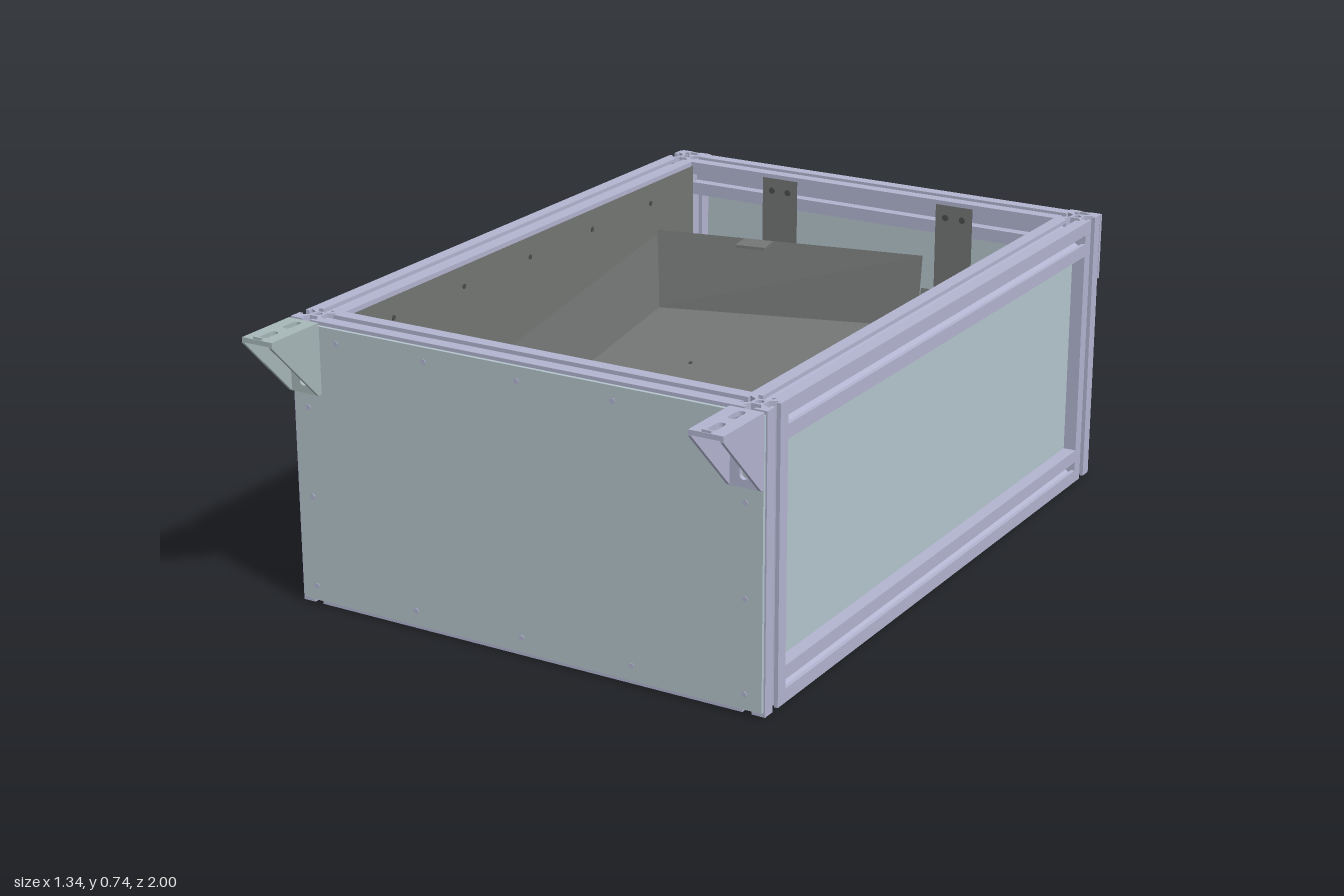
import * as THREE from 'three';

const mat = (name, color, double) => {
  const m = new THREE.MeshStandardMaterial({ color });
  m.name = name;
  if (double) m.side = THREE.DoubleSide;
  return m;
};

export function createModel() {
  const root = new THREE.Group();
  const aluminium = mat('aluminium', 0xb2b4d0);
  const glazing = mat('panel blue', 0xb4c4cc);
  const sheet = mat('sheet grey', 0x737674, true);
  const zinc = mat('zinc', 0xa6b6b8);
  const dark = mat('dark hole', 0x4a4d4c);

  const add = (name, geo, m, parent = root) => {
    const mesh = new THREE.Mesh(geo, m);
    mesh.name = name;
    parent.add(mesh);
    return mesh;
  };
  const box = (name, m, x0, x1, y0, y1, z0, z1, parent) =>
    add(name, new THREE.BoxGeometry(x1 - x0, y1 - y0, z1 - z0)
      .translate((x0 + x1) / 2, (y0 + y1) / 2, (z0 + z1) / 2), m, parent);

  // Slotted square profile, one side turned four times
  const H = 0.0465;
  const side = [[H, -H], [H, -0.012], [H - 0.01, -0.012], [H - 0.01, -0.024], [H - 0.03, -0.012],
    [H - 0.03, 0.012], [H - 0.01, 0.024], [H - 0.01, 0.012], [H, 0.012]];
  const pts = [];
  for (let k = 0; k < 4; k++) {
    for (const [x, y] of side) {
      pts.push(new THREE.Vector2(x, y).rotateAround(new THREE.Vector2(), k * Math.PI / 2));
    }
  }
  const profile = new THREE.Shape(pts);
  profile.holes.push(new THREE.Path().absarc(0, 0, 0.011, 0, Math.PI * 2, true));
  const rail = (name, axis, a, b, x, y, z) => {
    const g = new THREE.ExtrudeGeometry(profile, { depth: b - a, bevelEnabled: false, curveSegments: 4 });
    g.translate(0, 0, a);
    if (axis === 'x') g.rotateY(Math.PI / 2);
    if (axis === 'y') g.rotateX(-Math.PI / 2);
    add(name, g.translate(x, y, z), aluminium);
  };

  // Main frame
  const XL = -0.5925, XR = 0.6225, ZF = 0.7685, ZB = -0.9385, YB = H, YT = 0.6885;
  for (const x of [XL, XR]) {
    for (const z of [ZF, ZB]) rail('cornerPost', 'y', 0, 0.735, x, 0, z);
    for (const y of [YB, YT]) rail('sideRail', 'z', ZB + H, ZF - H, x, y, 0);
  }
  for (const z of [ZF, ZB]) {
    for (const y of [YB, YT]) rail('crossRail', 'x', XL + H, XR - H, 0, y, z);
  }

  // Door frame set into the right-hand opening
  for (const z of [ZF - 2 * H, ZB + 2 * H]) rail('doorPost', 'y', 2 * H, YT - H, XL, 0, z);
  for (const y of [YB + 2 * H, YT - 2 * H]) rail('doorRail', 'z', ZB + 3 * H, ZF - 3 * H, XL, y, 0);

  // Panels
  box('doorPanel', glazing, XL - 0.006, XL + 0.006, 0.17, 0.565, -0.82, 0.65);
  box('sidePanel', glazing, XR - 0.006, XR + 0.006, 0.08, 0.655, -0.91, 0.74);
  box('floorPanel', glazing, XL, XR, YB - 0.006, YB + 0.006, -0.92, 0.75);
  box('frontPanel', glazing, -0.63, 0.665, 0.012, 0.726, 0.815, 0.824);
  box('backPanel', glazing, -0.63, 0.665, 0.012, 0.726, -0.994, -0.985);

  // Screws around the front and back panels
  const spots = [-0.5, -0.245, 0.015, 0.275, 0.53].map(x => [x, 0.69]);
  for (const y of [0.515, 0.285, 0.05]) spots.push([-0.59, y], [0.62, y]);
  for (const x of [-0.29, 0.015, 0.32]) spots.push([x, 0.05]);
  for (const z of [0.824, -0.994]) {
    for (const [x, y] of spots) {
      add('panelScrew', new THREE.CylinderGeometry(0.007, 0.007, 0.004, 10)
        .rotateX(Math.PI / 2).translate(x, y, z), aluminium);
    }
  }

  // Slotted strips at the top corners of the back
  for (const x of [XL, XR]) {
    for (const s of [-1, 1]) {
      box('backStrip', aluminium, x + s * 0.029 - 0.0165, x + s * 0.029 + 0.0165, 0.555, 0.733, -1, -0.99);
    }
    box('backStripGroove', aluminium, x - 0.014, x + 0.014, 0.555, 0.733, -0.996, -0.99);
  }

  // Front angle brackets: two slotted plates and two gussets
  const slotted = () => {
    const s = new THREE.Shape([[-0.044, 0], [0.044, 0], [0.044, 0.176], [-0.044, 0.176]]
      .map(p => new THREE.Vector2(...p)));
    for (const y of [0.045, 0.13]) {
      const h = new THREE.Path();
      h.absarc(0, y + 0.016, 0.011, 0, Math.PI, false);
      h.absarc(0, y - 0.016, 0.011, Math.PI, Math.PI * 2, false);
      h.closePath();
      s.holes.push(h);
    }
    return new THREE.ExtrudeGeometry(s, { depth: 0.012, bevelEnabled: false, curveSegments: 6 });
  };
  const gusset = new THREE.Shape([[0, 0], [0.012, 0], [0.176, 0.165], [0.176, 0.178], [0, 0.178]]
    .map(p => new THREE.Vector2(...p)));
  for (const [x, m] of [[XL, zinc], [XR, aluminium]]) {
    const b = new THREE.Group();
    b.name = 'frontBracket';
    b.position.set(x, 0.555, 0.824);
    root.add(b);
    add('bracketBack', slotted(), m, b);
    add('bracketTop', slotted().rotateX(Math.PI / 2).translate(0, 0.18, 0), m, b);
    for (const gx of [-0.044, 0.036]) {
      add('bracketGusset', new THREE.ExtrudeGeometry(gusset, { depth: 0.008, bevelEnabled: false })
        .rotateY(-Math.PI / 2).translate(gx + 0.008, 0, 0), m, b);
    }
    box('bracketNub', m, -0.012, 0.012, 0.178, 0.186, 0.168, 0.174, b);
  }

  // Door hinges
  for (const z of [-0.72, 0.54]) {
    for (const s of [-1, 1]) {
      const y = 0.1 + s * 0.044;
      box('hingeLeaf', zinc, -0.655, -0.639, y - 0.036, y + 0.036, z - 0.05, z + 0.05);
      for (const dz of [-0.025, 0.025]) {
        add('hingeHole', new THREE.CylinderGeometry(0.011, 0.011, 0.004, 12)
          .rotateZ(Math.PI / 2).translate(-0.655, y + s * 0.008, z + dz), dark);
      }
    }
    add('hingeKnuckle', new THREE.CylinderGeometry(0.015, 0.015, 0.1, 14)
      .rotateX(Math.PI / 2).translate(-0.66, 0.1, z), zinc);
  }

  // Flat sheet from a convex outline
  const plate = (name, corners) => {
    const g = new THREE.BufferGeometry();
    const v = [];
    for (let i = 1; i < corners.length - 1; i++) v.push(...corners[0], ...corners[i], ...corners[i + 1]);
    g.setAttribute('position', new THREE.Float32BufferAttribute(v, 3));
    g.computeVertexNormals();
    add(name, g, sheet);
  };
  const fy = z => 0.262 - 0.162 * z;
  const onFloor = (x, z, up = 0) => [x, fy(z) + up, z];

  // Sloping tray with raised left, back and right edges
  plate('trayFloor', [[-0.515, -0.665], [-0.515, 0.555], [0.55, 0.355], [0.345, -0.7], [0.32, -0.83]]
    .map(([x, z]) => onFloor(x, z)));
  plate('trayBackWall', [onFloor(-0.53, -0.66), onFloor(0.22, -0.81), [0.22, 0.59, -0.835], [-0.54, 0.585, -0.695]]);
  plate('trayCornerWall', [onFloor(0.22, -0.81), onFloor(0.32, -0.83), [0.32, 0.5, -0.84], [0.22, 0.5, -0.83]]);
  plate('trayRightWall', [onFloor(0.345, -0.7), onFloor(0.55, 0.36), onFloor(0.548, 0.36, 0.165), onFloor(0.345, -0.7, 0.165)]);
  plate('trayLeftWall', [onFloor(-0.515, -0.665), onFloor(-0.515, 0.555), onFloor(-0.537, 0.555, 0.2), onFloor(-0.537, -0.69, 0.2)]);

  // Folded tabs on the tray walls
  for (const [x, y, z, w, d, r] of [[-0.23, 0.588, -0.7, 0.085, 0.07, 0.18],
    [0.355, fy(-0.52) + 0.168, -0.52, 0.06, 0.085, 0.19], [0.49, fy(0.2) + 0.168, 0.2, 0.06, 0.085, 0.19]]) {
    const tab = box('trayTab', sheet, -w / 2, w / 2, -0.004, 0.004, -d / 2, d / 2);
    tab.position.set(x, y, z);
    tab.rotation.y = r;
  }

  // Support straps under the tray, bent up at the back and down at the front
  for (const x of [-0.255, 0.285]) {
    const path = [[-0.887, 0.725], [-0.887, fy(-0.887) - 0.012], [0.717, fy(0.717) - 0.012], [0.717, 0.02]];
    for (let i = 0; i < 3; i++) {
      const [[z0, y0], [z1, y1]] = [path[i], path[i + 1]];
      plate('supportStrap', [[x - 0.055, y0, z0], [x - 0.055, y1, z1], [x + 0.055, y1, z1], [x + 0.055, y0, z0]]);
    }
    for (const dx of [-0.025, 0.025]) {
      add('strapScrew', new THREE.CylinderGeometry(0.009, 0.009, 0.004, 10)
        .rotateX(Math.PI / 2).translate(x + dx, 0.69, -0.886), dark);
    }
    const zs = x < 0 ? [-0.4, -0.12, 0.17, 0.45] : [-0.79, -0.5, -0.22, 0.06, 0.35];
    for (const z of zs) {
      add('trayScrew', new THREE.CylinderGeometry(0.006, 0.006, 0.004, 10)
        .rotateX(0.16).translate(x, fy(z), z), dark);
    }
  }

  // Cover sheet on the inside of the door side
  const cx = -0.541;
  plate('coverSheet', [[cx, 0.725, -0.89], [cx, 0.42, -0.89], [cx, 0.15, 0.72], [cx, 0.725, 0.72]]);
  for (const z of [-0.66, -0.36, -0.06, 0.24, 0.54]) {
    add('coverScrew', new THREE.CylinderGeometry(0.007, 0.007, 0.004, 10)
      .rotateZ(Math.PI / 2).translate(cx, 0.67, z), dark);
  }
  return root;
}
